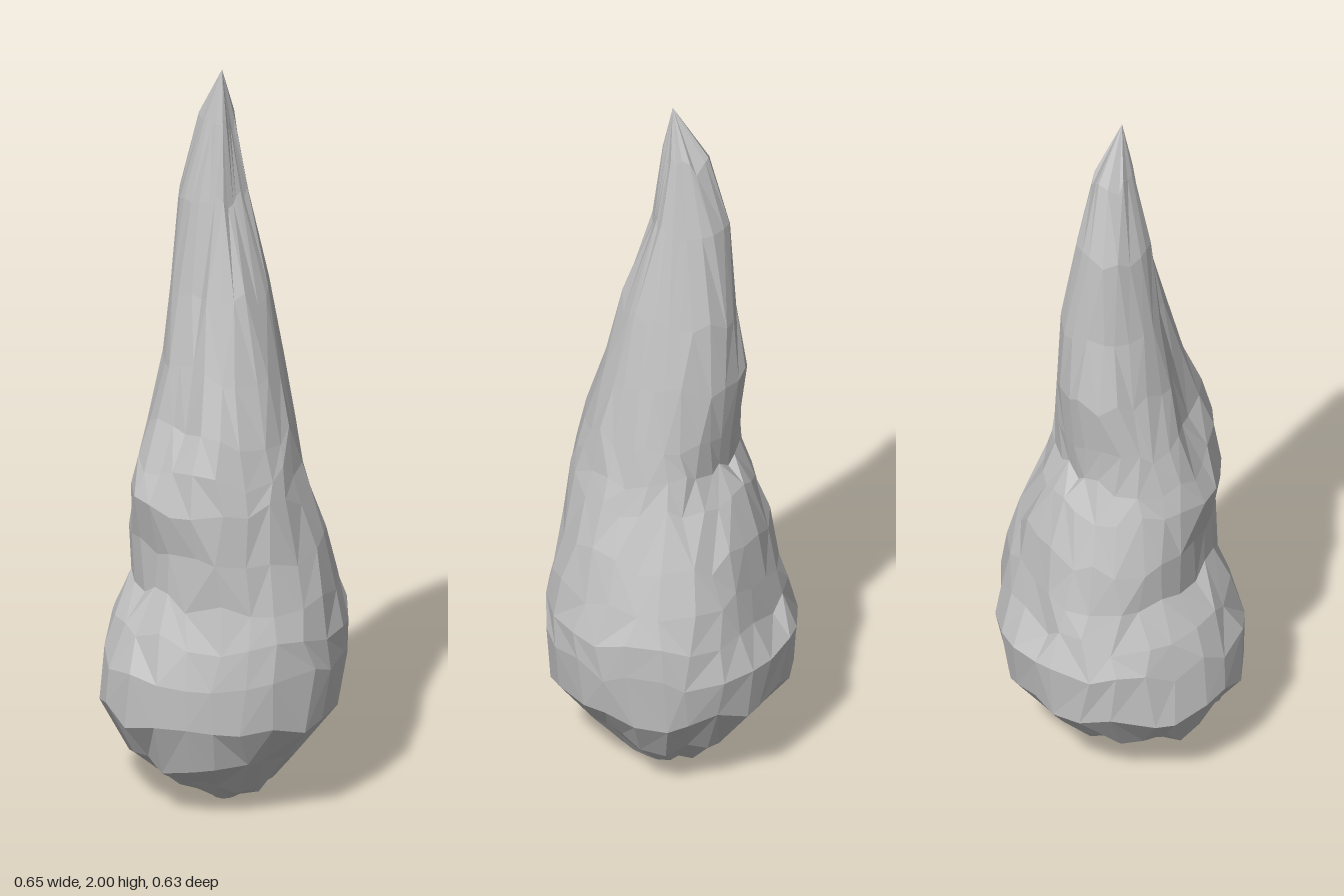
import * as THREE from 'three';

// Heights of the rings, each with 8 radii going from +x round through +z, -x and -z
const LEVELS = [0, 0.05, 0.14, 0.27, 0.4, 0.5, 0.6, 0.72, 0.86, 0.94, 1.04, 1.2, 1.4, 1.65, 1.85];
const RADII = [
  [0.05, 0.06, 0.08, 0.05, 0.05, 0.02, 0.01, 0.03],
  [0.13, 0.14, 0.15, 0.14, 0.11, 0.10, 0.10, 0.11],
  [0.22, 0.23, 0.27, 0.26, 0.24, 0.20, 0.19, 0.22],
  [0.30, 0.325, 0.31, 0.335, 0.325, 0.31, 0.29, 0.30],
  [0.32, 0.34, 0.315, 0.335, 0.31, 0.325, 0.315, 0.32],
  [0.325, 0.335, 0.305, 0.29, 0.295, 0.31, 0.275, 0.315],
  [0.295, 0.32, 0.28, 0.24, 0.265, 0.285, 0.25, 0.295],
  [0.265, 0.29, 0.285, 0.24, 0.25, 0.25, 0.235, 0.26],
  [0.225, 0.26, 0.29, 0.275, 0.23, 0.21, 0.19, 0.20],
  [0.205, 0.24, 0.28, 0.24, 0.22, 0.17, 0.145, 0.175],
  [0.185, 0.22, 0.255, 0.19, 0.20, 0.175, 0.155, 0.17],
  [0.155, 0.185, 0.20, 0.165, 0.16, 0.19, 0.17, 0.15],
  [0.12, 0.135, 0.14, 0.13, 0.14, 0.155, 0.165, 0.12],
  [0.06, 0.05, 0.07, 0.09, 0.115, 0.145, 0.125, 0.075],
  [0.025, 0.02, 0.04, 0.04, 0.06, 0.09, 0.075, 0.035],
];
const SIDES = 24;
// Share of the fold depth on the sides just past the front lip
const FOLD = { 7: 0.6, 8: 1, 9: 0.6 };

// Seeded noise for the uneven facets
function makeRandom(seed) {
  return () => {
    seed = (seed * 16807) % 2147483647;
    return seed / 2147483647 - 0.5;
  };
}

// Smooth closed blend through the 8 radii of a ring
function radiusAt(ring, side) {
  const u = (side / SIDES) * 8;
  const k = Math.floor(u), t = u - k;
  const [a, b, c, d] = [-1, 0, 1, 2].map((n) => ring[(k + n + 8) % 8]);
  return b + 0.5 * t * (c - a + t * (2 * a - 5 * b + 4 * c - d + t * (3 * (b - c) + d - a)));
}

// The overlapping fold runs up the front and fades at both ends
function foldDepth(side, y) {
  const t = THREE.MathUtils.clamp((y - 0.62) / 1.2, 0, 1);
  return (FOLD[side] ?? 0) * 0.03 * Math.sin(t * Math.PI);
}

// A shallow gully winds down from the right side to the back
function gullyDepth(side, y) {
  const t = THREE.MathUtils.clamp((side - 8) / 11, 0, 1);
  const off = (y - THREE.MathUtils.lerp(0.66, 0.48, t)) / 0.07;
  return 0.025 * Math.sin(t * Math.PI) * Math.exp(-off * off);
}

function spireGeometry() {
  const random = makeRandom(71);
  const positions = [];
  const index = [];

  LEVELS.forEach((y, row) => {
    for (let s = 0; s < SIDES; s++) {
      const r = radiusAt(RADII[row], s) - foldDepth(s, y) - gullyDepth(s, y);
      const a = ((s + random() * 0.5) / SIDES) * Math.PI * 2;
      const lift = row === 0 ? 0 : random() * 0.05;
      positions.push(Math.cos(a) * r, Math.max(y + lift, 0), Math.sin(a) * r);
    }
  });
  const foot = positions.length / 3;
  positions.push(0.01, 0, 0.03);
  const tip = foot + 1;
  positions.push(-0.005, 2, 0.01);

  const top = (LEVELS.length - 1) * SIDES;
  for (let s = 0; s < SIDES; s++) {
    const n = (s + 1) % SIDES;
    index.push(foot, s, n, top + s, tip, top + n);
    for (let row = 0; row < LEVELS.length - 1; row++) {
      const a = row * SIDES + s, b = row * SIDES + n;
      const c = a + SIDES, d = b + SIDES;
      // Vary the diagonal so the facets look chipped
      if (random() > 0) index.push(a, c, b, b, c, d);
      else index.push(a, c, d, a, d, b);
    }
  }

  const indexed = new THREE.BufferGeometry();
  indexed.setAttribute('position', new THREE.Float32BufferAttribute(positions, 3));
  indexed.setIndex(index);
  const geometry = indexed.toNonIndexed();
  geometry.computeVertexNormals();
  return geometry;
}

export function createModel() {
  const model = new THREE.Group();
  model.name = 'rockSpire';
  const stone = new THREE.MeshStandardMaterial({ color: 0xc4c4c4 });
  stone.name = 'grey stone';

  const spire = new THREE.Mesh(spireGeometry(), stone);
  spire.name = 'spire';
  model.add(spire);
  return model;
}
